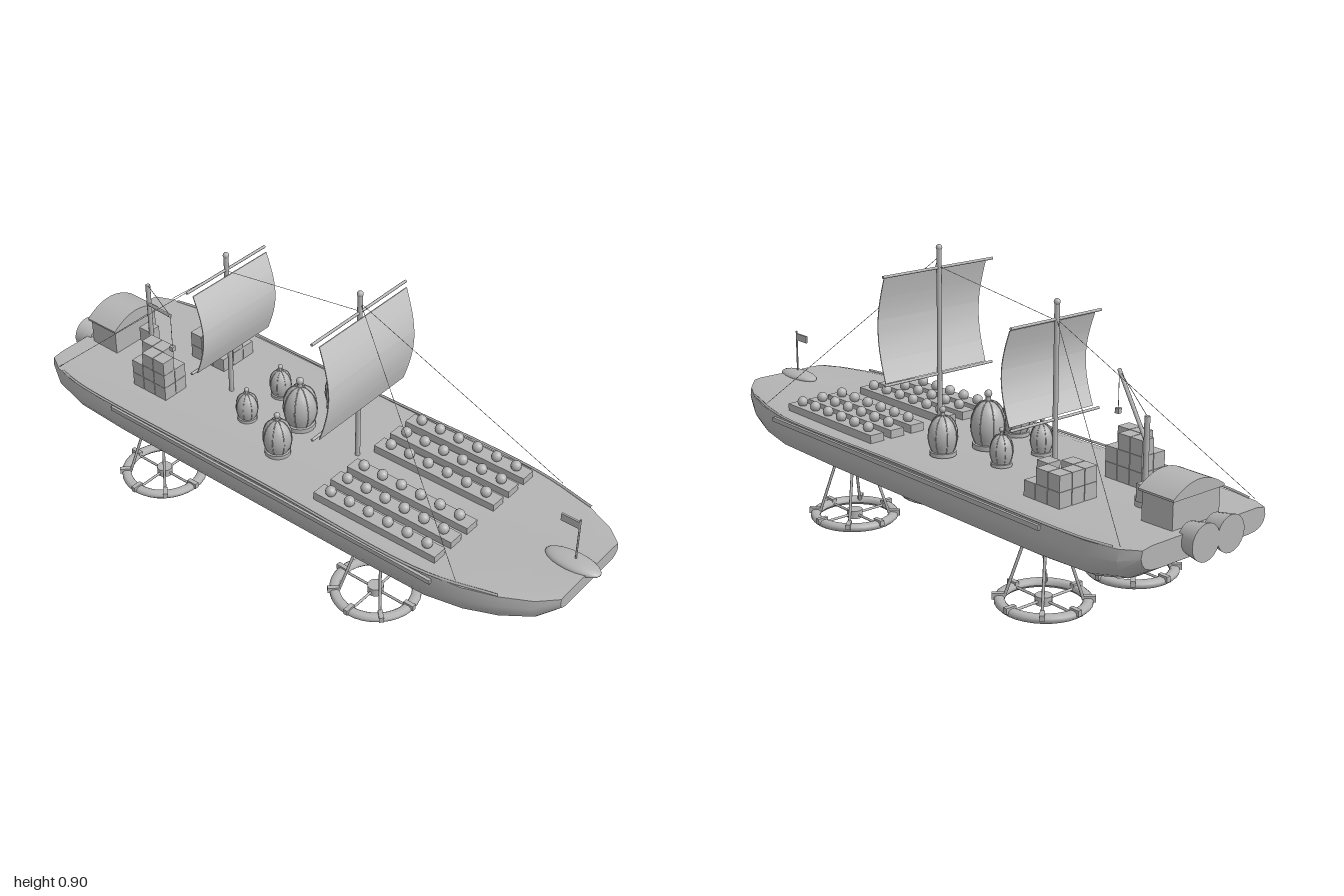
import * as THREE from 'three';
import { toCreasedNormals } from 'three/addons/utils/BufferGeometryUtils.js';

export function createModel() {
  const model = new THREE.Group();
  model.name = 'sailBarge';
  const grey = new THREE.MeshStandardMaterial({ color: 0xb4b4b4 });
  grey.name = 'grey';
  const sailGrey = new THREE.MeshStandardMaterial({ color: 0xc8c8c8 });
  sailGrey.name = 'sailGrey';
  const V = (x, y, z) => new THREE.Vector3(x, y, z);

  function add(name, geo, x = 0, y = 0, z = 0, parent = model, material = grey) {
    const m = new THREE.Mesh(geo, material);
    m.name = name;
    m.position.set(x, y, z);
    parent.add(m);
    return m;
  }
  const box = (name, w, h, d, x, y, z, parent) => add(name, new THREE.BoxGeometry(w, h, d), x, y, z, parent);
  const cyl = (name, rt, rb, h, x, y, z, parent, n = 16) =>
    add(name, new THREE.CylinderGeometry(rt, rb, h, n), x, y, z, parent);
  // Straight round bar between two points
  function rod(name, a, b, r, parent, n = 8) {
    const d = b.clone().sub(a), c = a.clone().add(b).multiplyScalar(0.5);
    const m = cyl(name, r, r, d.length(), c.x, c.y, c.z, parent, n);
    m.quaternion.setFromUnitVectors(V(0, 1, 0), d.normalize());
    return m;
  }
  function group(name, x = 0, y = 0, z = 0) {
    const g = new THREE.Group();
    g.name = name;
    g.position.set(x, y, z);
    model.add(g);
    return g;
  }

  // Hull: one cross-section lofted along z, [z, half width, bottom, top]
  const stations = [
    [0.965, 0.15, 0.275, 0.322], [0.91, 0.2, 0.235, 0.32], [0.82, 0.245, 0.212, 0.317],
    [0.72, 0.278, 0.198, 0.315], [0.6, 0.293, 0.184, 0.313], [0.3, 0.295, 0.18, 0.31],
    [-0.6, 0.295, 0.18, 0.31], [-0.8, 0.292, 0.188, 0.311], [-0.9, 0.275, 0.21, 0.313],
    [-0.955, 0.245, 0.245, 0.315]];
  const half = [[0, 1], [0.84, 1], [0.98, 0.92], [1, 0.6], [0.98, 0.36], [0.93, 0.16], [0.84, 0.04], [0.7, 0], [0, 0]];
  const ring = [...half, ...half.slice(1, -1).reverse().map(([u, v]) => [-u, v])];
  const n = ring.length, pos = [], idx = [];
  stations.forEach(([z, w, b, t], j) => {
    ring.forEach(([u, v], i) => {
      pos.push(u * w, b + v * (t - b), z);
      const k = (i + 1) % n, p = j * n;
      if (j < stations.length - 1) idx.push(p + i, p + k, p + n + i, p + k, p + n + k, p + n + i);
    });
  });
  const last = (stations.length - 1) * n;
  for (let i = 1; i < n - 1; i++) idx.push(0, i + 1, i, last, last + i, last + i + 1);
  const hull = new THREE.BufferGeometry();
  hull.setAttribute('position', new THREE.Float32BufferAttribute(pos, 3));
  hull.setIndex(idx);
  add('hull', toCreasedNormals(hull, 0.4));

  // Gunwale rails and rubbing strakes
  for (const s of [-1, 1]) {
    const path = new THREE.CatmullRomCurve3([V(s * 0.27, 0.306, -0.88), V(s * 0.288, 0.306, -0.78),
      V(s * 0.288, 0.306, 0), V(s * 0.288, 0.306, 0.6), V(s * 0.24, 0.314, 0.82)]);
    add('gunwaleRail', new THREE.TubeGeometry(path, 40, 0.004, 6));
    box('strake', 0.01, 0.014, 1.26, s * 0.293, 0.288, 0, model);
  }

  // Bow pod with flag
  add('bowPod', new THREE.SphereGeometry(1, 20, 12), 0, 0.32, 0.908).scale.set(0.04, 0.018, 0.09);
  rod('flagPole', V(0, 0.33, 0.915), V(0, 0.478, 0.915), 0.003);
  box('flag', 0.006, 0.024, 0.06, 0, 0.458, 0.885);

  // Trays of round cargo on the foredeck
  for (const s of [-1, 1]) for (const x of [0.066, 0.144, 0.222]) {
    box('cargoTray', 0.05, 0.03, 0.44, s * x, 0.321, 0.39);
    for (let i = 0; i < 6; i++)
      add('cargoBall', new THREE.SphereGeometry(0.017, 12, 8), s * x, 0.348, 0.215 + i * 0.07);
  }

  // Ribbed tanks: [x, z, radius, height]
  for (const [x, z, r, h] of [[0, -0.09, 0.055, 0.15], [-0.148, -0.055, 0.046, 0.125], [0.148, -0.055, 0.046, 0.125],
    [-0.08, -0.24, 0.036, 0.098], [0.08, -0.24, 0.036, 0.098]]) {
    const g = group('tank', x, 0.31, z);
    const profile = [[0, 0], [0.7, 0], [0.72, 0.12], [0.88, 0.24], [1, 0.45], [0.95, 0.66], [0.74, 0.85], [0.4, 0.97], [0, 1]];
    add('tankBody', new THREE.LatheGeometry(profile.map(([a, b]) => new THREE.Vector2(a * r, b * h)), 20), 0, 0, 0, g);
    cyl('tankBase', r * 0.88, r * 0.88, h * 0.1, 0, h * 0.07, 0, g);
    const curve = new THREE.CatmullRomCurve3(profile.slice(2).map(([a, b]) => V(a * r, b * h, 0)));
    for (let i = 0; i < 8; i++)
      add('tankRib', new THREE.TubeGeometry(curve, 12, r * 0.03, 5), 0, 0, 0, g).rotation.y = (i + 0.5) * Math.PI / 4;
    cyl('tankNeck', r * 0.14, r * 0.14, h * 0.12, 0, h * 1.04, 0, g, 8);
    add('tankKnob', new THREE.SphereGeometry(r * 0.22, 12, 8), 0, h * 1.14, 0, g);
  }

  // Masts, yards and bowed sails of thin panels
  function rig(z, top, yards, yardHalf, sailHalf, cuts) {
    const g = group('rig', 0, 0, z);
    rod('mast', V(0, 0.3, 0), V(0, top - 0.01, 0), 0.008, g, 12);
    add('mastKnob', new THREE.SphereGeometry(0.01, 10, 8), 0, top - 0.01, 0, g);
    for (const y of yards) rod('yard', V(-yardHalf, y, 0), V(yardHalf, y, 0), 0.0045, g);
    const hi = cuts[0], lo = cuts[cuts.length - 1];
    for (let i = 0; i + 1 < cuts.length; i++) {
      const h = cuts[i] - cuts[i + 1], mid = (cuts[i] + cuts[i + 1]) / 2;
      const geo = new THREE.BoxGeometry(sailHalf * 2, h, 0.003, 1, 4, 1);
      const p = geo.attributes.position;
      for (let k = 0; k < p.count; k++) {
        const t = (mid + p.getY(k) - lo) / (hi - lo);
        p.setZ(k, p.getZ(k) + 0.015 + 0.034 * Math.sin(Math.PI * t));
      }
      geo.computeVertexNormals();
      add('sailPanel', geo, 0, mid, 0, g, sailGrey);
    }
  }
  rig(0.138, 0.9, [0.828, 0.494], 0.215, 0.2, [0.82, 0.755, 0.685, 0.56, 0.495]);
  rig(-0.38, 0.825, [0.765, 0.47], 0.175, 0.165, [0.755, 0.695, 0.635, 0.535, 0.475]);

  // Rigging lines
  for (const s of [-1, 1]) {
    rod('foreStay', V(0, 0.86, 0.14), V(s * 0.272, 0.32, 0.7), 0.0008, model, 5);
    rod('backStay', V(0, 0.765, -0.38), V(s * 0.265, 0.312, -0.9), 0.0008, model, 5);
  }
  rod('mastStay', V(0, 0.832, 0.14), V(0, 0.76, -0.38), 0.0008, model, 5);

  // Crate stacks: rows of stack heights, front to back
  const size = 0.048;
  for (const [x0, z0, rows] of [[-0.154, -0.525, [[3, 2], [3, 3], [2, 3]]],
    [0.08, -0.489, [[1, 2, 1], [2, 1, 2], [2, 2, 2]]]])
    rows.forEach((row, j) => row.forEach((count, i) => {
      for (let k = 0; k < count; k++)
        box('crate', size - 0.002, size - 0.001, size - 0.002, x0 + i * size, 0.334 + k * size, z0 - j * size);
    }));

  // Loading crane
  const tip = V(-0.138, 0.617, -0.495);
  cyl('craneBase', 0.027, 0.027, 0.03, 0, 0.322, -0.735);
  rod('cranePost', V(0, 0.31, -0.735), V(0, 0.565, -0.735), 0.008);
  box('craneBox', 0.046, 0.052, 0.045, 0.015, 0.358, -0.76);
  rod('craneBoom', V(0, 0.49, -0.735), tip, 0.006);
  rod('craneCable', V(0, 0.563, -0.735), tip, 0.001, model, 5);
  rod('hoistLine', tip, V(tip.x, 0.5, tip.z), 0.001, model, 5);
  box('hoistHook', 0.014, 0.016, 0.014, tip.x, 0.496, tip.z);

  // Stern cabin with arched roof
  box('cabin', 0.184, 0.1, 0.11, 0, 0.352, -0.865);
  const arch = new THREE.Shape();
  arch.moveTo(-0.1, 0.397);
  arch.lineTo(0.1, 0.397);
  arch.lineTo(0.1, 0.403);
  arch.quadraticCurveTo(0, 0.477, -0.1, 0.403);
  arch.closePath();
  add('cabinRoof', toCreasedNormals(new THREE.ExtrudeGeometry(arch,
    { depth: 0.126, bevelEnabled: false, curveSegments: 14 }), 0.6), 0, 0, -0.928);

  // Twin stern nozzles
  for (const s of [-1, 1]) {
    const nozzle = cyl('nozzle', 0.043, 0.054, 0.06, s * 0.049, 0.295, -0.97, model, 20);
    nozzle.rotation.x = Math.PI / 2;
  }

  // Four landing rings on splayed struts
  const rim = [[0.11, 0.008], [0.117, 0], [0.132, 0], [0.14, 0.008], [0.14, 0.018], [0.132, 0.024],
    [0.117, 0.024], [0.11, 0.018], [0.11, 0.008]].map(([a, b]) => new THREE.Vector2(a, b));
  for (const x of [-0.178, 0.178]) for (const z of [0.355, -0.53]) {
    const g = group('landingGear', x, 0, z);
    add('landingRing', new THREE.LatheGeometry(rim, 32), 0, 0, 0, g);
    cyl('hub', 0.025, 0.025, 0.026, 0, 0.015, 0, g);
    rod('spoke', V(-0.115, 0.013, 0), V(0.115, 0.013, 0), 0.004, g);
    rod('spoke', V(0, 0.013, -0.115), V(0, 0.013, 0.115), 0.004, g);
    for (let i = 0; i < 8; i++) {
      const a = i * Math.PI / 4;
      const clamp = box('clamp', 0.036, 0.018, 0.014, Math.cos(a) * 0.128, 0.021, -Math.sin(a) * 0.128, g);
      clamp.rotation.y = a;
    }
    for (const sx of [-1, 1]) for (const sz of [-1, 1])
      rod('strut', V(sx * 0.079, 0.018, sz * 0.078), V(sx * 0.036, 0.19, sz * 0.042), 0.0045, g);
  }
  return model;
}
